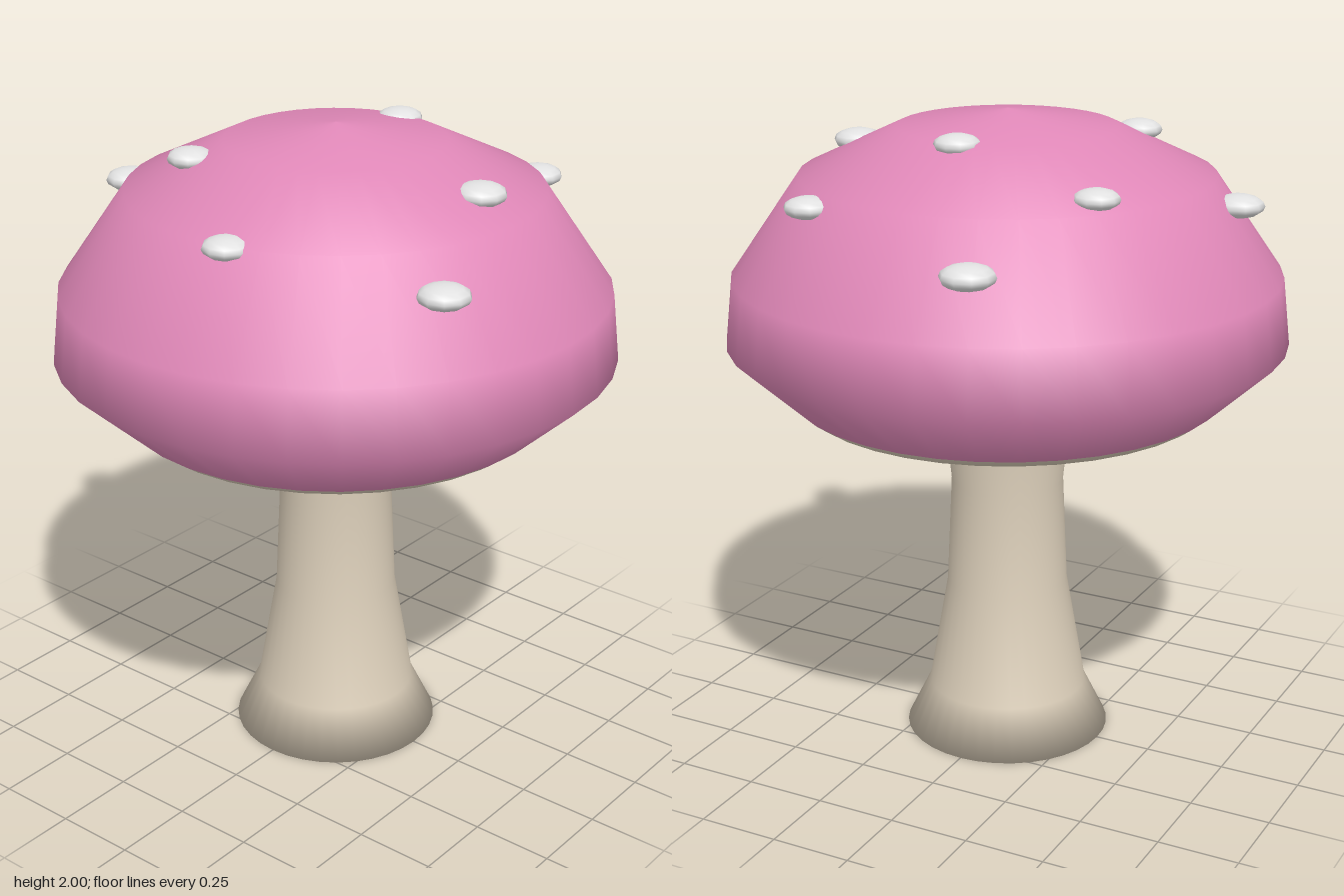
import * as THREE from 'three';

const material = (name, color) => {
  const m = new THREE.MeshStandardMaterial({ color });
  m.name = name;
  return m;
};

export function createModel() {
  const pink = material('capPink', 0xe088b8);
  const cream = material('stemCream', 0xdccfba);
  const white = material('spotWhite', 0xe2e2e2);
  const model = new THREE.Group();
  model.name = 'mushroom';

  const add = (name, geometry, mat) => {
    const mesh = new THREE.Mesh(geometry, mat);
    mesh.name = name;
    model.add(mesh);
    return mesh;
  };
  // Profiles run from bottom to top as [radius, height]
  const lathe = (profile) =>
    new THREE.LatheGeometry(profile.map(([r, y]) => new THREE.Vector2(r, y)), 36);

  // Flared stem with a closed foot
  add('stem', lathe([[0, 0], [0.323, 0], [0.25, 0.15], [0.19, 0.5], [0.175, 0.84], [0.2, 1.09]]), cream);

  // Pale underside and its narrow rim
  add('capUnderside', lathe([[0, 1.075], [0.2, 1.08], [0.63, 1.105], [0.665, 1.13]]), cream);

  // Domed cap
  add('cap', lathe([[0.665, 1.13], [0.855, 1.305], [0.832, 1.51], [0.625, 1.81], [0.33, 1.95], [0, 2]]), pink);

  // Flattened spots: x, y, z, radius
  const spots = [
    [-0.335, 1.71, 0.64, 0.077],
    [0.04, 1.87, 0.49, 0.077],
    [0.55, 1.775, 0.35, 0.073],
    [0.715, 1.685, -0.25, 0.08],
    [-0.595, 1.8, 0.1, 0.072],
    [0.31, 1.945, 0, 0.07],
    [0.34, 1.84, -0.45, 0.068],
    [-0.175, 1.74, -0.67, 0.077],
    [-0.31, 1.91, -0.29, 0.07],
  ];
  const spotGeometry = new THREE.SphereGeometry(1, 10, 8);
  for (const [x, y, z, r] of spots) {
    const spot = add('spot', spotGeometry, white);
    spot.position.set(x, y, z);
    spot.scale.set(r, r * 0.45, r);
  }
  return model;
}
